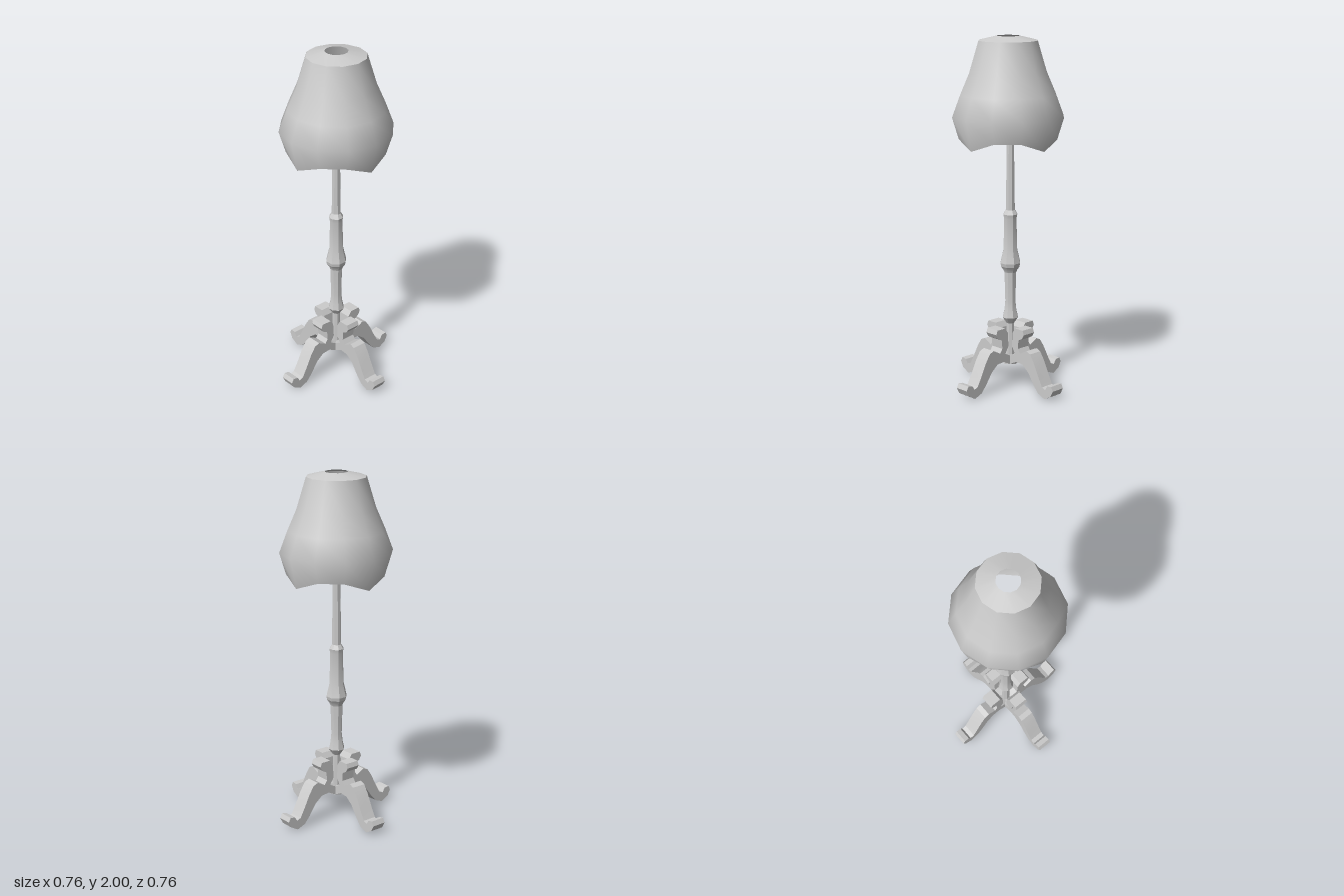
import * as THREE from 'three';
import { toCreasedNormals } from 'three/addons/utils/BufferGeometryUtils.js';

const points = (list) => list.map(([x, y]) => new THREE.Vector2(x, y));

// Scalloped twelve-sided shade, open at the bottom with a hole in the top
function makeShade(material) {
  const sides = 12;
  const profile = points([
    [0.28, 1.39], [0.317, 1.56], [0.272, 1.68], [0.22, 1.8], [0.167, 1.975], [0.064, 2],
  ]);
  const geometry = new THREE.LatheGeometry(profile, sides);
  const position = geometry.attributes.position;
  // Raise the rim between the four hanging points
  for (let i = 0; i <= sides; i++) {
    if (i % 3 !== 0) position.setY(i * profile.length, 1.44);
  }
  const shade = new THREE.Mesh(toCreasedNormals(geometry, 0.95), material);
  shade.name = 'shade';
  shade.position.set(-0.007, 0, 0.01);
  return shade;
}

// Turned eight-sided post with collars
function makePost(material) {
  const profile = points([
    [0, 0.12], [0.025, 0.14], [0.022, 0.37], [0.046, 0.405], [0.036, 0.45], [0.031, 0.5],
    [0.036, 0.67], [0.042, 0.685], [0.056, 0.705], [0.06, 0.725], [0.042, 0.8],
    [0.037, 0.98], [0.042, 1.005], [0.027, 1.03], [0.022, 1.4], [0.021, 1.6], [0, 1.6],
  ]);
  const geometry = new THREE.LatheGeometry(profile, 8, Math.PI / 8);
  const post = new THREE.Mesh(toCreasedNormals(geometry, 0.3), material);
  post.name = 'post';
  return post;
}

// Side outline of a leg: curled foot, knee and upper scroll
function makeLegGeometry() {
  const outline = new THREE.Shape(points([
    [0, 0.13], [0.04, 0.14], [0.09, 0.165], [0.14, 0.16], [0.185, 0.125], [0.23, 0.06],
    [0.265, 0.02], [0.315, 0], [0.36, 0.025], [0.378, 0.06], [0.365, 0.085], [0.335, 0.08],
    [0.32, 0.055], [0.295, 0.065], [0.27, 0.11], [0.23, 0.19], [0.2, 0.235], [0.17, 0.247],
    [0.12, 0.22], [0.103, 0.245], [0.107, 0.295], [0.135, 0.31], [0.15, 0.335],
    [0.14, 0.36], [0.08, 0.36], [0.06, 0.33], [0.055, 0.25], [0.08, 0.21],
    [0.04, 0.19], [0, 0.18],
  ]));
  const width = 0.082;
  const geometry = new THREE.ExtrudeGeometry(outline, { depth: width, bevelEnabled: false });
  geometry.translate(0, 0, -width / 2);
  return toCreasedNormals(geometry, 0.5);
}

export function createModel() {
  const material = new THREE.MeshStandardMaterial({ color: 0xcccccc });
  const openMaterial = new THREE.MeshStandardMaterial({ color: 0xcccccc, side: THREE.DoubleSide });

  const lamp = new THREE.Group();
  lamp.name = 'floorLamp';
  lamp.add(makeShade(openMaterial), makePost(material));

  // Four legs around the post
  const legGeometry = makeLegGeometry();
  ['leftLeg', 'backLeg', 'rightLeg', 'frontLeg'].forEach((name, i) => {
    const leg = new THREE.Mesh(legGeometry, material);
    leg.name = name;
    leg.rotation.y = i * Math.PI / 2;
    lamp.add(leg);
  });
  return lamp;
}
